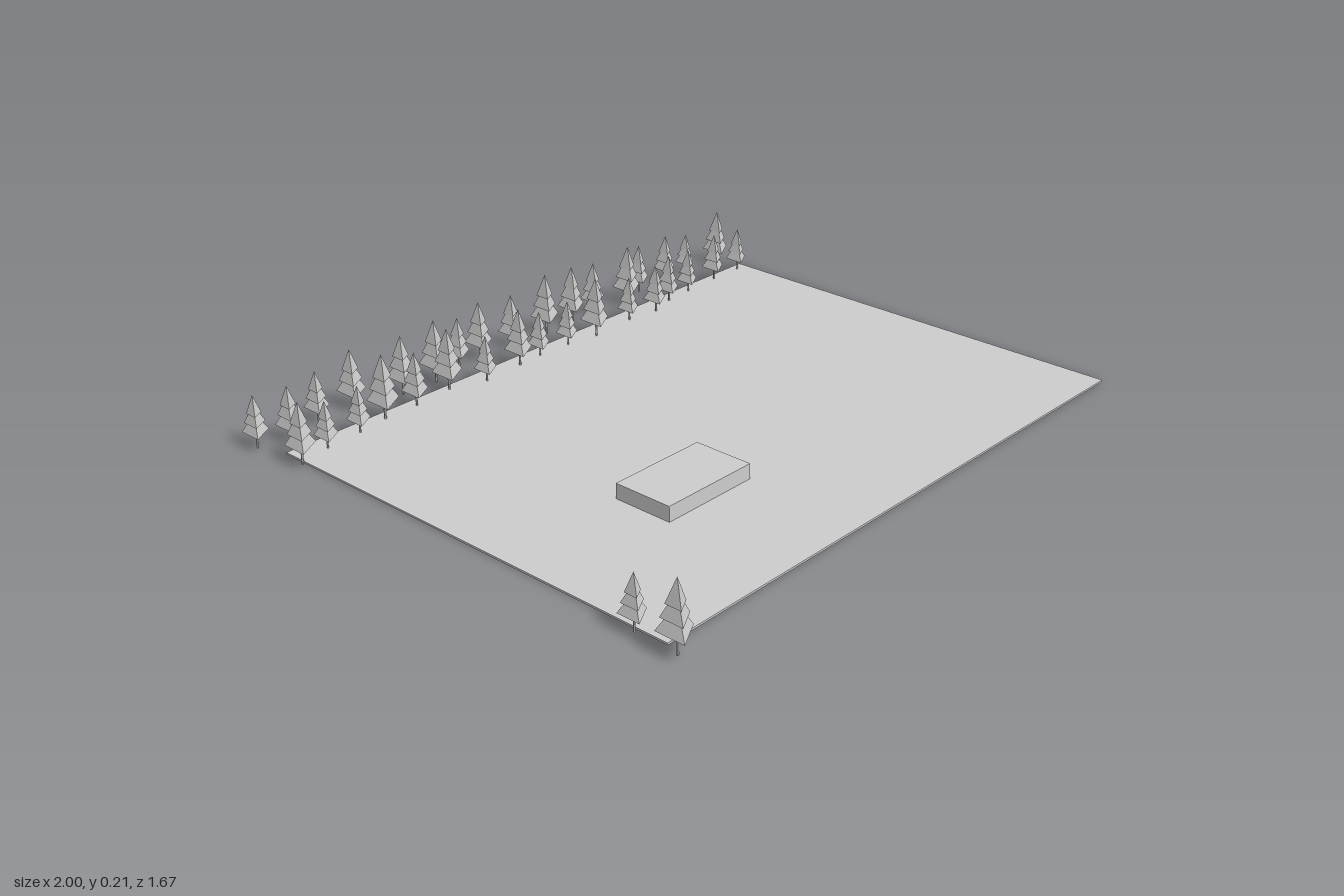
import * as THREE from 'three';

const grey = new THREE.MeshStandardMaterial({ color: 0xcccccc, flatShading: true });
grey.name = 'plain grey';

// Tree positions: [x, z, foliage radius]
const backRow = [
  [-0.98, -0.797, 0.043], [-0.893, -0.757, 0.046], [-0.767, -0.797, 0.043], [-0.64, -0.797, 0.05],
  [-0.48, -0.762, 0.05], [-0.356, -0.757, 0.053], [-0.238, -0.787, 0.043], [-0.154, -0.783, 0.05],
  [-0.024, -0.778, 0.046], [0.12, -0.773, 0.053], [0.242, -0.778, 0.05], [0.34, -0.778, 0.046],
  [0.473, -0.75, 0.053], [0.575, -0.797, 0.043], [0.703, -0.794, 0.043], [0.805, -0.794, 0.037],
  [0.944, -0.773, 0.05],
];
const innerRow = [
  [-0.956, -0.623, 0.05], [-0.856, -0.64, 0.04], [-0.733, -0.65, 0.04], [-0.628, -0.666, 0.055],
  [-0.51, -0.666, 0.046], [-0.372, -0.68, 0.053], [-0.257, -0.64, 0.04], [-0.111, -0.65, 0.05],
  [-0.021, -0.655, 0.04], [0.096, -0.65, 0.04], [0.206, -0.634, 0.053], [0.369, -0.645, 0.04],
  [0.479, -0.63, 0.043], [0.575, -0.66, 0.043], [0.679, -0.668, 0.04], [0.82, -0.677, 0.043],
  [0.941, -0.677, 0.04],
];
const cornerPair = [[-0.96, 0.645, 0.043], [-0.965, 0.787, 0.055]];

// Box given by its x, y and z limits
function slab(name, x0, x1, y0, y1, z0, z1) {
  const mesh = new THREE.Mesh(new THREE.BoxGeometry(x1 - x0, y1 - y0, z1 - z0), grey);
  mesh.position.set((x0 + x1) / 2, (y0 + y1) / 2, (z0 + z1) / 2);
  mesh.name = name;
  return mesh;
}

// Unit-height tree: [base, top, radius] of each three-sided tier
const tiers = [[0.28, 0.66, 0.262], [0.46, 0.83, 0.205], [0.64, 1, 0.145]];
const tierGeometries = tiers.map(([base, top, r]) =>
  new THREE.ConeGeometry(r, top - base, 3).rotateY(Math.PI / 2).translate(0, (base + top) / 2, 0));
const trunkGeometry = new THREE.CylinderGeometry(0.018, 0.018, 0.4, 6).translate(0, 0.2, 0);

function tree([x, z, r]) {
  const group = new THREE.Group();
  group.name = 'tree';
  const trunk = new THREE.Mesh(trunkGeometry, grey);
  trunk.name = 'trunk';
  group.add(trunk);
  tierGeometries.forEach((geometry) => {
    const tier = new THREE.Mesh(geometry, grey);
    tier.name = 'foliageTier';
    group.add(tier);
  });
  group.position.set(x, 0, z);
  group.scale.setScalar(r / 0.262);
  return group;
}

export function createModel() {
  const model = new THREE.Group();
  model.name = 'plotWithTrees';

  // Ground plate with a low block and a patch set flush into it
  model.add(slab('ground', -0.95, 0.985, 0, 0.006, -0.705, 0.742));
  model.add(slab('lowBlock', -0.53, -0.208, 0, 0.053, 0.168, 0.36));
  model.add(slab('sunkenPatch', -0.925, -0.41, 0, 0.004, -0.53, -0.06));

  // Trees grouped by row
  for (const [name, spots] of Object.entries({ backRow, innerRow, cornerPair })) {
    const row = new THREE.Group();
    row.name = name;
    spots.forEach((spot) => row.add(tree(spot)));
    model.add(row);
  }
  return model;
}
